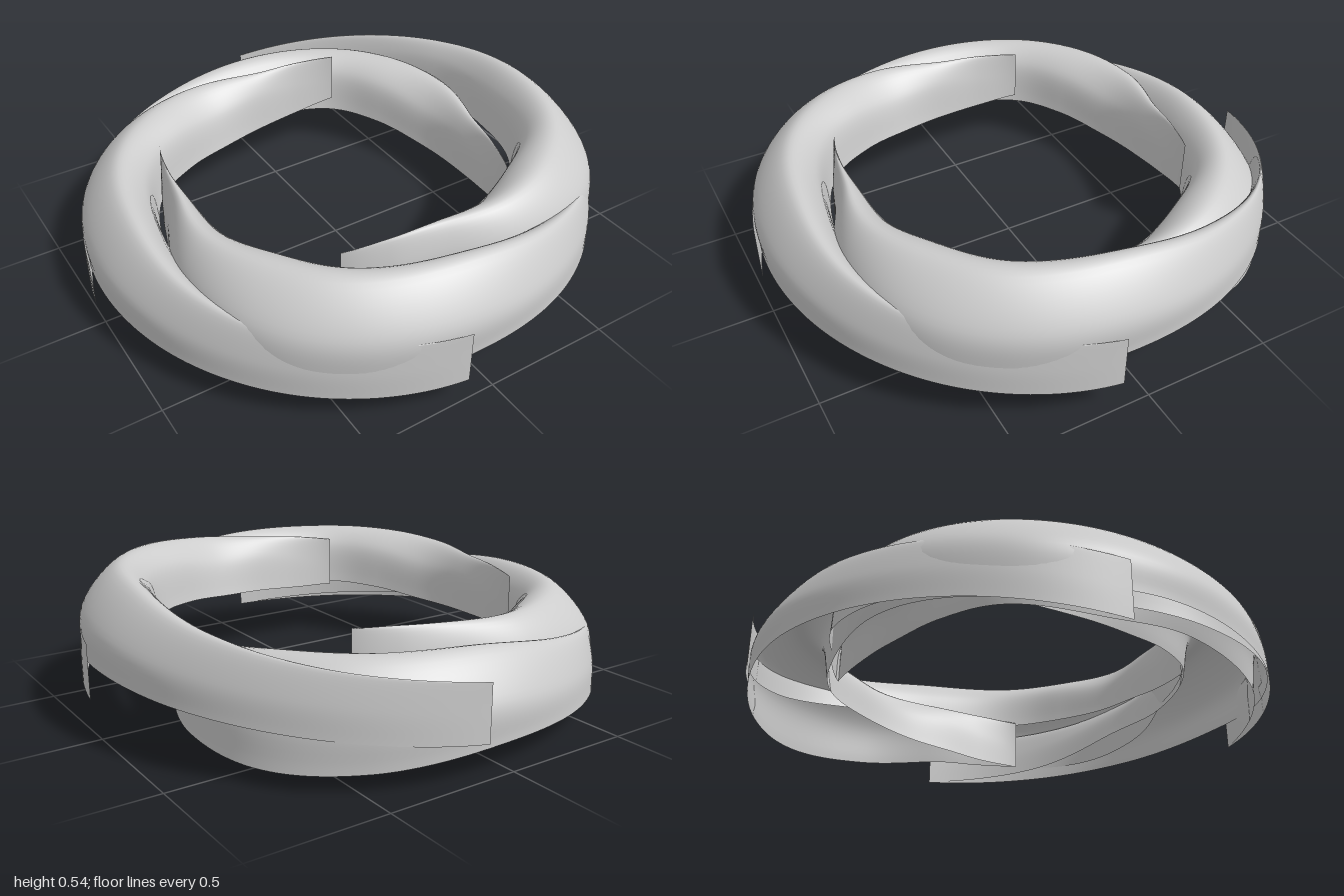
import * as THREE from 'three';

// Cross-sections along one blade: [turn 0..1, then (radius, height) from outer foot over the crest to inner foot]
const SECTIONS = [
  [0.00, 1.0, 0.0, 1.0, 0.10, 1.0, 0.21, 1.0, 0.10, 1.0, 0.0],
  [0.14, 0.99, 0.03, 0.987, 0.14, 0.965, 0.25, 0.945, 0.17, 0.935, 0.06],
  [0.28, 0.982, 0.05, 0.972, 0.17, 0.91, 0.295, 0.84, 0.25, 0.79, 0.12],
  [0.41, 0.982, 0.05, 0.974, 0.19, 0.85, 0.338, 0.75, 0.26, 0.715, 0.10],
  [0.55, 0.988, 0.0, 0.978, 0.18, 0.84, 0.33, 0.73, 0.27, 0.69, 0.10],
  [0.65, 0.965, -0.015, 0.94, 0.18, 0.80, 0.315, 0.67, 0.25, 0.63, 0.08],
  [0.75, 0.86, 0.0, 0.84, 0.17, 0.74, 0.285, 0.63, 0.20, 0.585, 0.05],
  [0.85, 0.725, 0.02, 0.71, 0.16, 0.66, 0.255, 0.605, 0.18, 0.58, 0.03],
  [0.93, 0.685, 0.01, 0.68, 0.13, 0.655, 0.235, 0.63, 0.14, 0.617, 0.01],
  [1.00, 0.677, 0.0, 0.677, 0.10, 0.677, 0.21, 0.677, 0.10, 0.677, 0.0],
];
const START = THREE.MathUtils.degToRad(-84);
const SWEEP = THREE.MathUtils.degToRad(205);

// One arched blade, tapering to a knife edge outside the ring and another inside it
function bladeGeometry(startAngle, startLift, endLift, bulge) {
  const along = 140, across = 32;
  const rails = [0, 1, 2, 3, 4].map((k) => new THREE.CatmullRomCurve3(
    SECTIONS.map((s) => new THREE.Vector3(s[1 + 2 * k], s[2 + 2 * k], s[0])), false, 'catmullrom', 0.5));
  const geometry = new THREE.PlaneGeometry(1, 1, along, across);
  const position = geometry.attributes.position;
  for (let i = 0; i <= along; i++) {
    const section = new THREE.CatmullRomCurve3(
      rails.map((rail) => rail.getPoint(i / along)), false, 'catmullrom', 0.5);
    for (let j = 0; j <= across; j++) {
      const p = section.getPoint(j / across);
      const turn = p.z;
      const angle = startAngle + SWEEP * turn;
      const lift = THREE.MathUtils.lerp(startLift, endLift, turn) + bulge * 4 * turn * (1 - turn);
      position.setXYZ(j * (along + 1) + i, p.x * Math.cos(angle), p.y + lift, p.x * Math.sin(angle));
    }
  }
  geometry.computeVertexNormals();
  return geometry;
}

export function createModel() {
  const group = new THREE.Group();
  group.name = 'twistedRing';
  const grey = new THREE.MeshStandardMaterial({ color: 0xcccccc, side: THREE.DoubleSide });
  grey.name = 'grey';

  // Four overlapping blades, each a quarter turn on: name, start lift, end lift, bulge between
  const blades = [
    ['rightBlade', 0.12, 0.235, 0.02],
    ['frontBlade', 0.11, 0.22, -0.025],
    ['leftBlade', 0.08, 0.23, -0.08],
    ['backBlade', 0.0, 0.1, 0.01],
  ];
  blades.forEach(([name, startLift, endLift, bulge], i) => {
    const blade = new THREE.Mesh(bladeGeometry(START + i * Math.PI / 2, startLift, endLift, bulge), grey);
    blade.name = name;
    group.add(blade);
  });
  return group;
}
